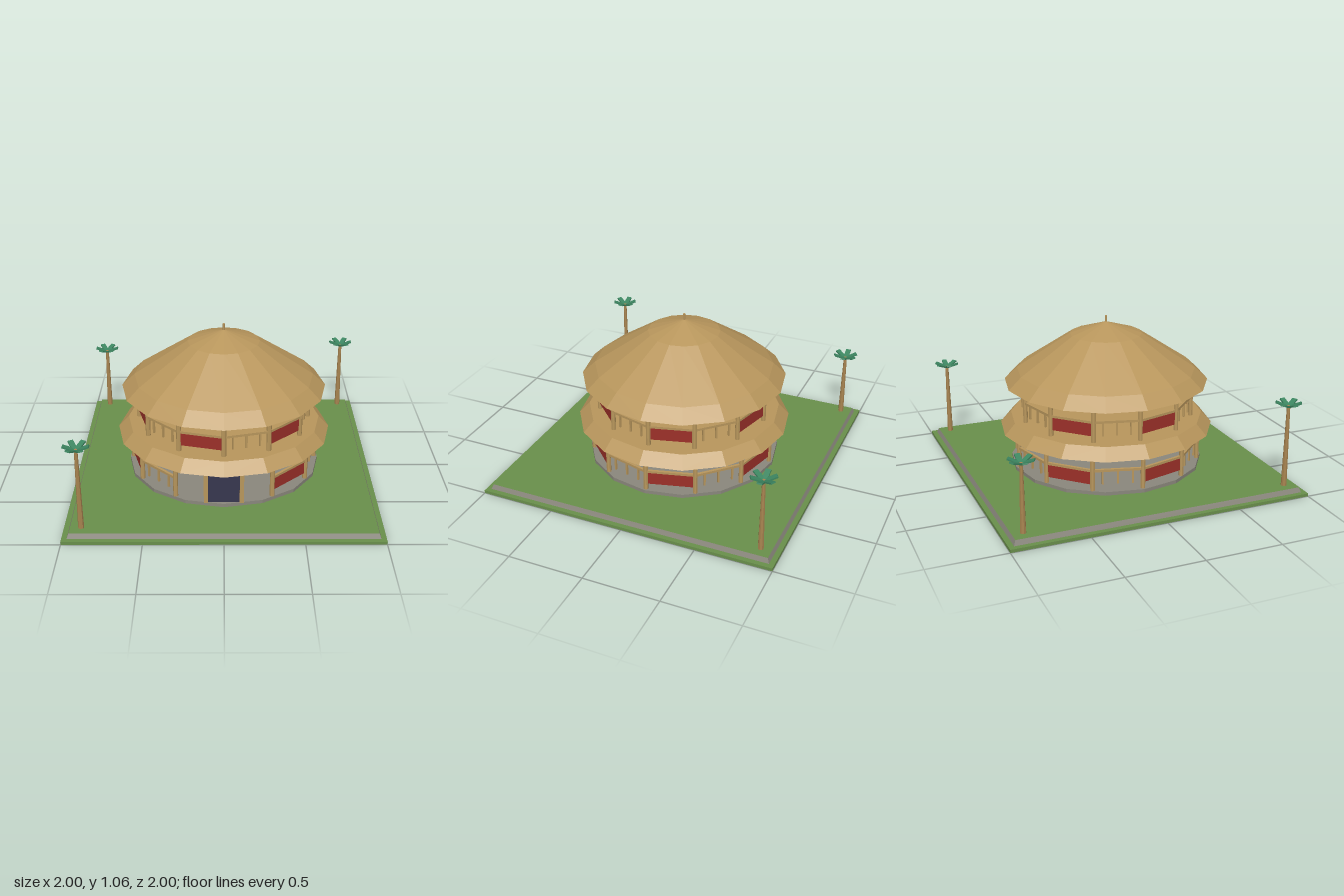
import * as THREE from 'three';

const mat = (name, color) => {
  const m = new THREE.MeshStandardMaterial({ color });
  m.name = name;
  m.flatShading = true;
  return m;
};

export function createModel() {
  const thatch = mat('thatch and timber', 0xb8965c);
  const red = mat('red panel', 0x9c3029);
  const grass = mat('grass', 0x698f4b);
  const stone = mat('stone', 0x8a877c);
  const navy = mat('door navy', 0x37374f);
  const bark = mat('palm bark', 0xa88450);
  const leaf = mat('palm leaf', 0x3c8560);

  const model = new THREE.Group();
  model.name = 'roundPavilion';

  const add = (parent, name, geometry, material, x = 0, y = 0, z = 0) => {
    const mesh = new THREE.Mesh(geometry, material);
    mesh.name = name;
    mesh.position.set(x, y, z);
    parent.add(mesh);
    return mesh;
  };
  const box = (w, h, d) => new THREE.BoxGeometry(w, h, d);

  // Lawn: flat slab with a sloped stone-edged terrace on it
  add(model, 'lawn', box(2, 0.02, 2), grass, 0, 0.01, 0);
  const terrace = new THREE.CylinderGeometry(
    0.955 * Math.SQRT2, 0.967 * Math.SQRT2, 0.032, 4, 1, false, Math.PI / 4);
  add(model, 'terrace', terrace, [stone, grass, stone], 0, 0.036, 0);

  // Sixteen-sided floor, skirt roof and main roof
  add(model, 'floor', new THREE.CylinderGeometry(0.65, 0.65, 0.025, 16), stone, 0, 0.0635, 0);
  add(model, 'skirtRoof', new THREE.CylinderGeometry(0.65, 0.72, 0.075, 16), thatch, 0, 0.3475, 0);
  const roofProfile = [[0, 0.62], [0.685, 0.62], [0.6, 0.7], [0.24, 0.94], [0, 1.02]]
    .map(([r, y]) => new THREE.Vector2(r, y));
  add(model, 'mainRoof', new THREE.LatheGeometry(roofProfile, 16), thatch);
  add(model, 'finial', new THREE.CylinderGeometry(0.008, 0.008, 0.05, 8), thatch, 0, 1.035, 0);

  // One storey: twelve posts, with red panels and open balusters in turn
  const storey = (name, radius, floorY, ceilingY, hasEntrance) => {
    const group = new THREE.Group();
    group.name = name;
    model.add(group);
    const step = Math.PI / 6;
    const chord = 2 * radius * Math.sin(step / 2);
    const height = ceilingY - floorY;
    for (let i = 0; i < 12; i++) {
      const a = i * step;
      if (!(hasEntrance && i === 0)) {
        add(group, 'post', new THREE.CylinderGeometry(0.016, 0.016, height, 8), thatch,
          radius * Math.sin(a), floorY + height / 2, radius * Math.cos(a));
      }
      // The bays beside the door stay open
      if (hasEntrance && (i === 0 || i === 11)) continue;
      const bay = new THREE.Group();
      bay.name = 'railingBay';
      const mid = a + step / 2;
      const apothem = radius * Math.cos(step / 2);
      bay.position.set(apothem * Math.sin(mid), floorY, apothem * Math.cos(mid));
      bay.rotation.y = mid;
      group.add(bay);
      add(bay, 'handrail', box(chord, 0.016, 0.018), thatch, 0, 0.135, 0);
      if (i % 2) {
        add(bay, 'redPanel', box(chord, 0.086, 0.009), red, 0, 0.084, 0);
      } else {
        for (const f of [-0.3, 0, 0.3]) {
          add(bay, 'baluster', box(0.012, 0.086, 0.012), thatch, f * chord, 0.084, 0);
        }
      }
    }
  };
  storey('lowerStorey', 0.625, 0.075, 0.312, true);
  storey('upperStorey', 0.575, 0.384, 0.622, false);

  // Front door with its frame
  const entrance = new THREE.Group();
  entrance.name = 'entrance';
  entrance.position.z = 0.62;
  model.add(entrance);
  add(entrance, 'door', box(0.202, 0.2, 0.015), navy, 0, 0.175, 0);
  for (const side of [-1, 1]) {
    add(entrance, 'doorPost', box(0.028, 0.237, 0.03), thatch, side * 0.115, 0.1935, 0);
  }
  add(entrance, 'lintel', box(0.202, 0.037, 0.03), thatch, 0, 0.2935, 0);

  // Palms: tapered trunk and six raised leaves
  const palm = (x, z, top) => {
    const group = new THREE.Group();
    group.name = 'palm';
    group.position.set(x, 0.05, z);
    model.add(group);
    const h = top - 0.05;
    add(group, 'trunk', new THREE.CylinderGeometry(0.011, 0.019, h, 8), bark, 0, h / 2, 0);
    for (let i = 0; i < 6; i++) {
      const arm = new THREE.Group();
      arm.name = 'leafArm';
      arm.position.y = h - 0.008;
      arm.rotation.y = i * Math.PI / 3;
      group.add(arm);
      const blade = add(arm, 'leaf', box(0.078, 0.01, 0.034), leaf, 0.044, 0.016, 0);
      blade.rotation.z = 0.36;
    }
  };
  palm(-0.885, 0.885, 0.6);
  palm(0.885, -0.885, 0.55);
  palm(-0.885, -0.885, 0.5);

  return model;
}
